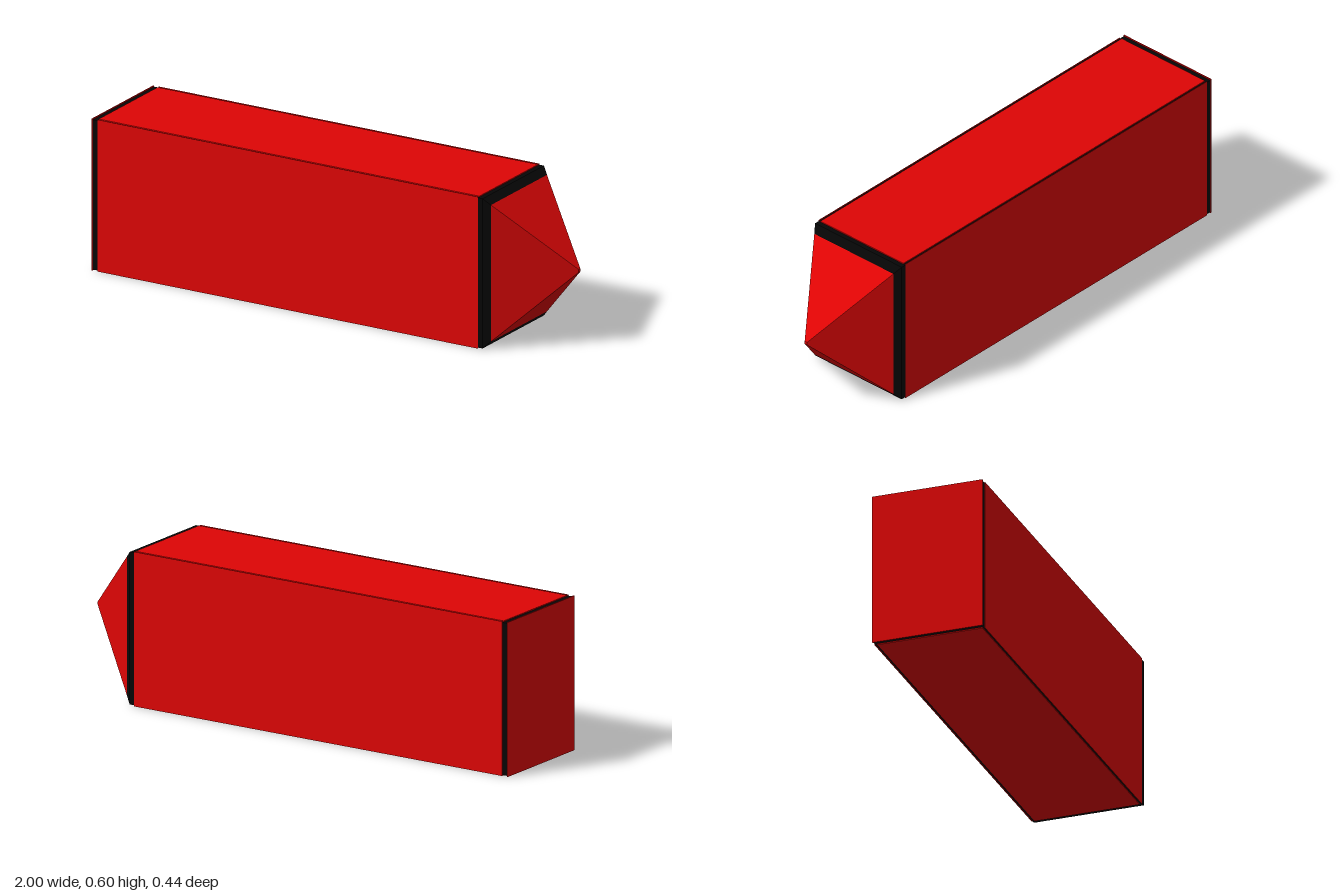
import * as THREE from 'three';

const red = new THREE.MeshStandardMaterial({ color: 0xde0505 });
red.name = 'red';
const black = new THREE.MeshStandardMaterial({ color: 0x060606 });
black.name = 'black';

// Flat-sided loft through rectangular sections [x, halfHeight, halfDepth], running along +x.
function loft(name, sections, material) {
  const rings = sections.map(([x, h, d]) => [[x, -h, d], [x, -h, -d], [x, h, -d], [x, h, d]]);
  const pos = [];
  const quad = (a, b, c, d) => pos.push(...a, ...b, ...c, ...a, ...c, ...d);
  for (let i = 0; i + 1 < rings.length; i++) {
    const a = rings[i], b = rings[i + 1];
    for (let k = 0; k < 4; k++) {
      const n = (k + 1) % 4;
      quad(a[k], a[n], b[n], b[k]);
    }
  }
  quad(...[...rings[0]].reverse());
  quad(...rings[rings.length - 1]);
  const geometry = new THREE.BufferGeometry();
  geometry.setAttribute('position', new THREE.Float32BufferAttribute(pos, 3));
  geometry.computeVertexNormals();
  const mesh = new THREE.Mesh(geometry, material);
  mesh.name = name;
  return mesh;
}

// Thin red plate
function panel(name, size, position) {
  const mesh = new THREE.Mesh(new THREE.BoxGeometry(...size), red);
  mesh.name = name;
  mesh.position.set(...position);
  return mesh;
}

export function createModel() {
  const group = new THREE.Group();
  group.name = 'pointedBlock';
  const H = 0.3, D = 0.22;
  const rear = -0.975, front = 0.69;
  const length = front - rear, middle = (front + rear) / 2;

  // Black core, left bare as a band at each end and bevelled at the front
  const coreH = 0.296, coreD = 0.219;
  group.add(loft('core', [[-0.998, coreH, coreD], [0.71, coreH, coreD], [0.735, 0.27, 0.2]], black));

  // Pyramid point with a tiny blunt tip
  group.add(loft('point', [[0.735, 0.27, 0.2], [1, 0.006, 0.006]], red));

  // Red panels: the top and bottom ones leave a narrow black groove along the long edges
  for (const s of [-1, 1]) {
    group.add(
      panel('sidePanel', [length, 2 * H, 0.002], [middle, 0, s * (D - 0.001)]),
      panel(s > 0 ? 'topPanel' : 'bottomPanel', [length, 0.006, 0.42], [middle, s * (H - 0.003), 0])
    );
  }
  group.add(panel('rearPanel', [0.004, 2 * H, 2 * D], [-0.998, 0, 0]));

  // Rest the block on the ground
  for (const part of group.children) part.position.y += H;
  return group;
}
